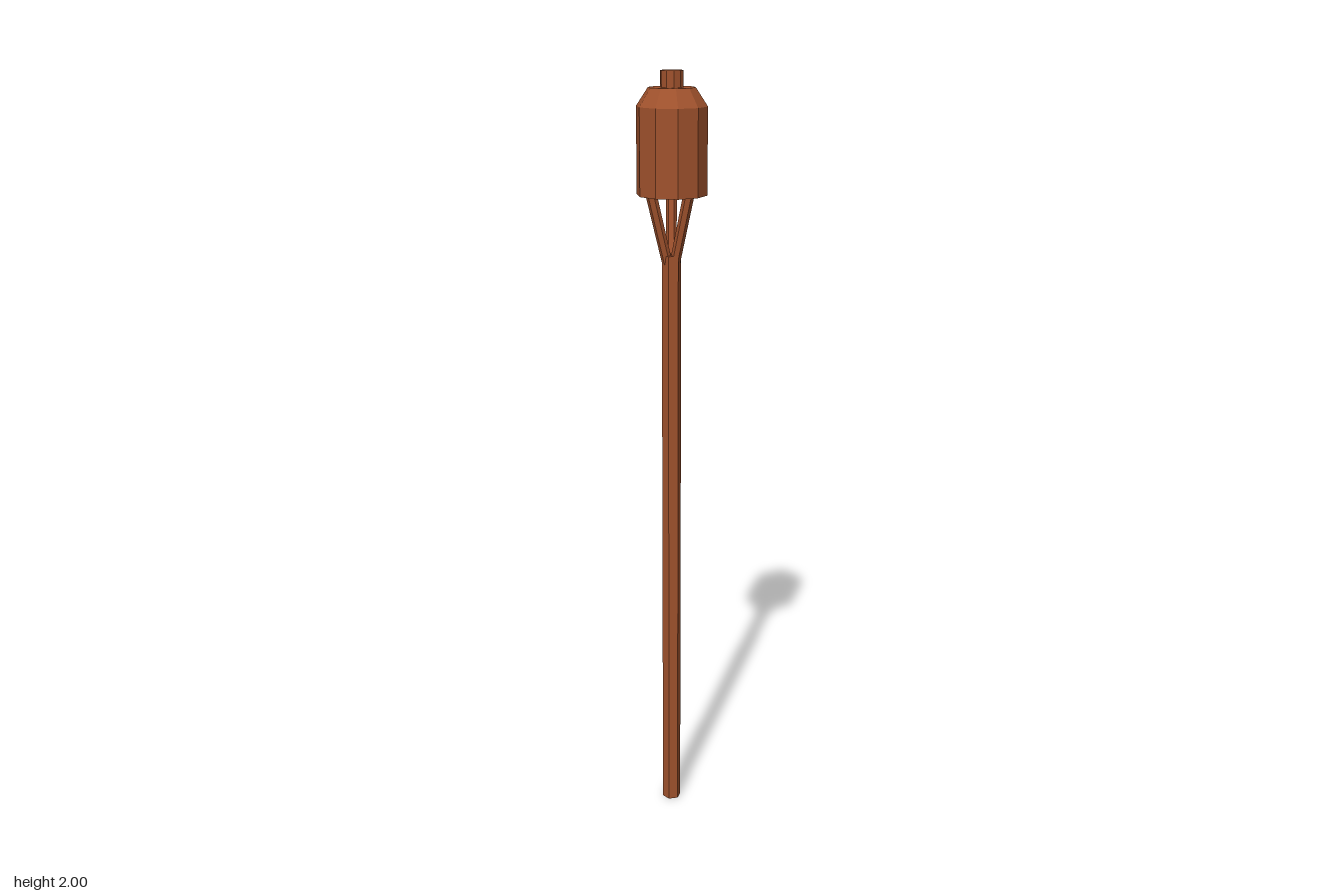
import * as THREE from 'three';

export function createModel() {
  const model = new THREE.Group();
  const wood = new THREE.MeshStandardMaterial({ color: 0xa0522d });
  wood.name = 'brown wood';

  const add = (name, geometry) => {
    // Unshared corners keep every facet flat
    const flat = geometry.toNonIndexed();
    flat.computeVertexNormals();
    const mesh = new THREE.Mesh(flat, wood);
    mesh.name = name;
    model.add(mesh);
    return mesh;
  };

  // Upright faceted section between two heights
  const section = (name, rTop, rBottom, y0, y1, sides, turn) => {
    const mesh = add(name, new THREE.CylinderGeometry(rTop, rBottom, y1 - y0, sides));
    mesh.position.y = (y0 + y1) / 2;
    mesh.rotation.y = turn;
    return mesh;
  };

  // Long slender handle, sitting slightly off the axis
  const handle = section('handle', 0.025, 0.025, 0, 1.55, 6, Math.PI / 12);
  handle.position.x = -0.003;
  handle.position.z = 0.004;

  // Three prongs spreading up to the head
  const up = new THREE.Vector3(0, 1, 0);
  for (let i = 0; i < 3; i++) {
    const a = Math.PI + (i * Math.PI * 2) / 3;
    const from = new THREE.Vector3(Math.cos(a) * 0.011 - 0.003, 1.53, Math.sin(a) * 0.011 + 0.002);
    const to = new THREE.Vector3(Math.cos(a) * 0.054 - 0.004, 1.705, Math.sin(a) * 0.054);
    const dir = to.clone().sub(from);
    const prong = add('prong', new THREE.CylinderGeometry(0.014, 0.013, dir.length(), 6));
    prong.position.copy(from).add(to).multiplyScalar(0.5);
    prong.quaternion.setFromUnitVectors(up, dir.normalize());
  }

  // Ten-sided head, sloped shoulder and top stub
  section('head', 0.089, 0.089, 1.70, 1.915, 10, Math.PI / 2);
  section('shoulder', 0.059, 0.089, 1.915, 1.96, 10, Math.PI / 2);
  section('topStub', 0.029, 0.029, 1.955, 2, 10, Math.PI / 2);

  return model;
}
